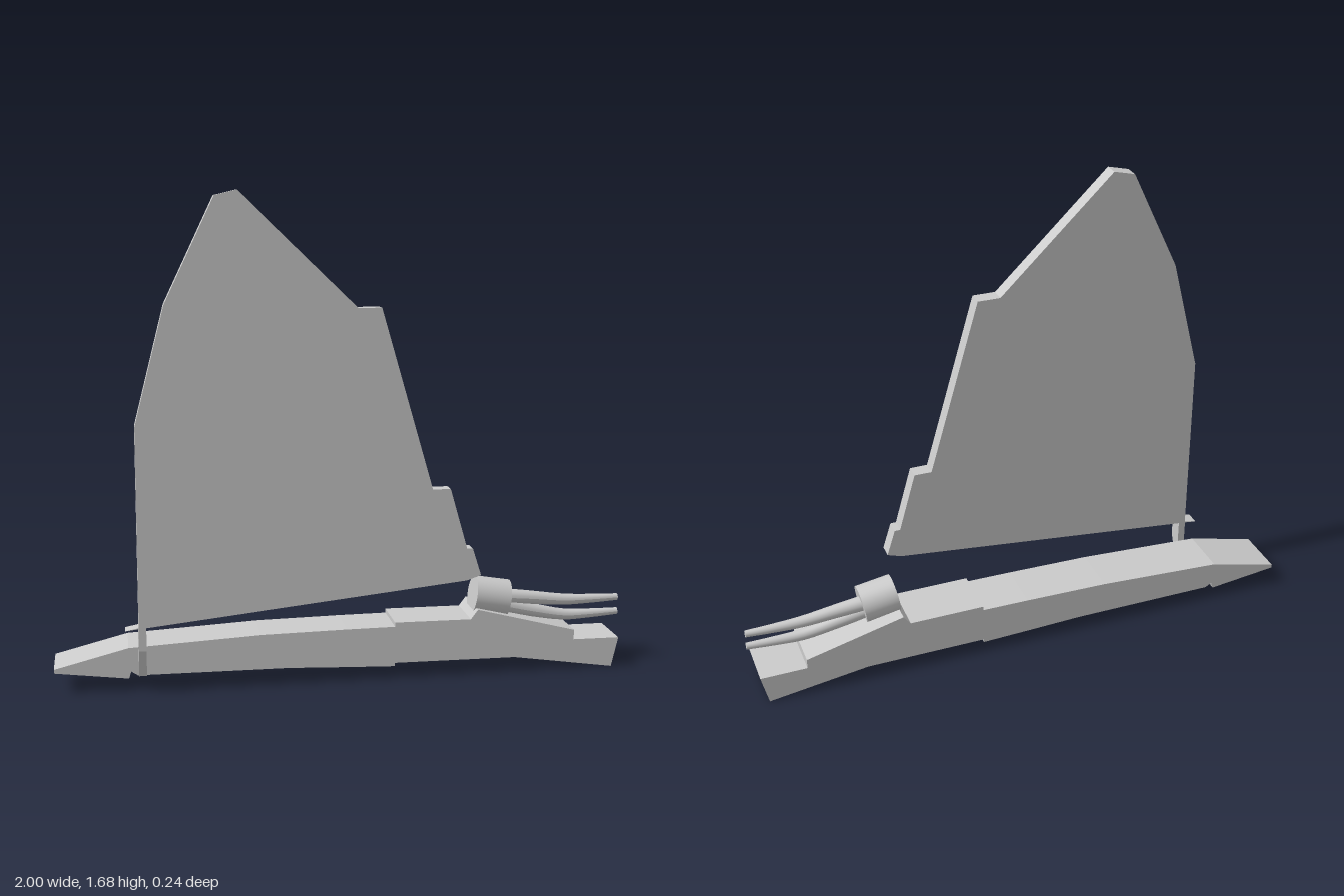
import * as THREE from 'three';

const material = new THREE.MeshStandardMaterial({ color: 0xcccccc });

function addMesh(group, name, geometry) {
  const mesh = new THREE.Mesh(geometry, material);
  mesh.name = name;
  group.add(mesh);
  return mesh;
}

// Flat plate: an outline extruded from z = 0 to z = depth
function plate(points, depth) {
  const shape = new THREE.Shape(points.map(([x, y]) => new THREE.Vector2(x, y)));
  return new THREE.ExtrudeGeometry(shape, { depth, bevelEnabled: false });
}

// Tapered round barrel: a cylinder along x bent onto a curve
function barrel(points, r0, r1, z) {
  const curve = new THREE.CatmullRomCurve3(points.map(([x, y]) => new THREE.Vector3(x, y, z)));
  const geometry = new THREE.CylinderGeometry(1, 1, 1, 20, 16);
  const pos = geometry.attributes.position;
  for (let i = 0; i < pos.count; i++) {
    const t = THREE.MathUtils.clamp(pos.getY(i) + 0.5, 0, 1);
    const r = THREE.MathUtils.lerp(r0, r1, t);
    const p = curve.getPoint(t);
    const d = curve.getTangent(t);
    const u = -pos.getX(i) * r;
    pos.setXYZ(i, p.x - d.y * u, p.y + d.x * u, p.z + pos.getZ(i) * r);
  }
  geometry.computeVertexNormals();
  return geometry;
}

export function createModel() {
  const model = new THREE.Group();
  model.name = 'finAndBarrels';

  // Long stepped base
  const base = plate([
    [-1, 0.07], [-0.75, 0.04], [-0.742, 0.064], [-0.72, 0.05], [-0.2, 0.05],
    [0.0, 0.043], [0.17, 0.038], [0.17, 0.05], [0.6, 0.05], [0.955, 0.0],
    [0.98, 0.105], [0.815, 0.105], [0.815, 0.14], [0.465, 0.228], [0.44, 0.195],
    [0.17, 0.195], [0.17, 0.18], [0.0, 0.178], [-0.3, 0.172], [-0.75, 0.147], [-1, 0.083],
  ], 0.185);
  addMesh(model, 'base', base).position.z = -0.12;

  // Tall fin standing in front of the base
  const fin = plate([
    [-0.76, 0.222], [0.41, 0.35], [0.46, 0.367], [0.43, 0.462], [0.41, 0.462],
    [0.35, 0.673], [0.288, 0.673], [0.11, 1.293], [0.03, 1.293], [-0.37, 1.68],
    [-0.445, 1.662], [-0.613, 1.31], [-0.715, 0.91], [-0.715, 0.231],
  ], 0.052);
  addMesh(model, 'fin', fin).position.z = 0.068;

  // Narrow strut under the fin, chamfered towards the base
  const strut = plate([[0.068, 0.05], [0.076, 0.05], [0.12, 0.15], [0.12, 0.232], [0.068, 0.232]], 0.026);
  strut.rotateY(-Math.PI / 2);
  addMesh(model, 'strut', strut).position.x = -0.69;

  // Round housing, tipped slightly down
  const z = -0.015;
  const housing = addMesh(model, 'housing', new THREE.CylinderGeometry(0.067, 0.067, 0.125, 32));
  housing.position.set(0.526, 0.254, z);
  housing.rotation.z = -Math.PI / 2 - 0.16;

  // Two thin barrels
  const upper = [[0.57, 0.252], [0.68, 0.242], [0.8, 0.23], [0.9, 0.229], [1.0, 0.231]];
  const lower = [[0.57, 0.222], [0.68, 0.197], [0.8, 0.175], [0.9, 0.175], [1.0, 0.179]];
  addMesh(model, 'upperBarrel', barrel(upper, 0.028, 0.012, z - 0.005));
  addMesh(model, 'lowerBarrel', barrel(lower, 0.028, 0.012, z - 0.005));

  return model;
}
